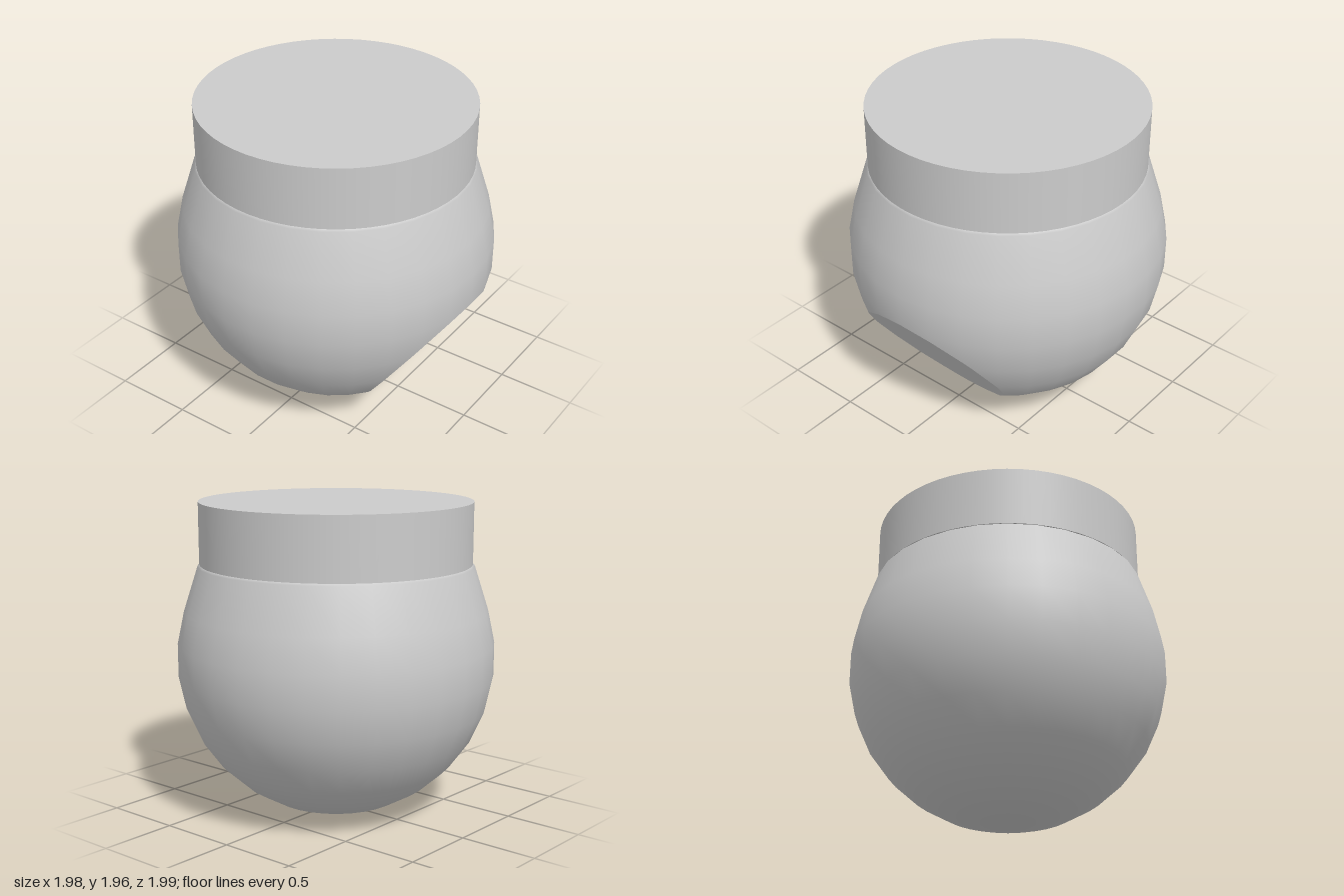
import * as THREE from 'three';

const CENTRE_Y = 0.978;
const STEP = Math.PI / 15;

const material = () => new THREE.MeshStandardMaterial({ color: 0xcccccc });

// Keeps the part of a geometry behind a plane and collects the cut points.
function clip(source, plane) {
  const geo = source.toNonIndexed();
  const pos = geo.attributes.position, nor = geo.attributes.normal;
  const points = [], normals = [], rim = [];
  const vertex = (i) => {
    const p = new THREE.Vector3().fromBufferAttribute(pos, i);
    return { p, n: new THREE.Vector3().fromBufferAttribute(nor, i), d: plane.distanceToPoint(p) };
  };
  for (let i = 0; i < pos.count; i += 3) {
    const corners = [vertex(i), vertex(i + 1), vertex(i + 2)];
    const kept = [];
    corners.forEach((a, k) => {
      const b = corners[(k + 1) % 3];
      if (a.d <= 0) kept.push(a);
      if ((a.d <= 0) !== (b.d <= 0)) {
        const t = a.d / (a.d - b.d);
        const cut = { p: a.p.clone().lerp(b.p, t), n: a.n.clone().lerp(b.n, t).normalize() };
        kept.push(cut);
        rim.push(cut.p);
      }
    });
    for (let k = 1; k < kept.length - 1; k++) {
      for (const v of [kept[0], kept[k], kept[k + 1]]) {
        points.push(...v.p.toArray());
        normals.push(...v.n.toArray());
      }
    }
  }
  const body = new THREE.BufferGeometry();
  body.setAttribute('position', new THREE.Float32BufferAttribute(points, 3));
  body.setAttribute('normal', new THREE.Float32BufferAttribute(normals, 3));
  return { body, rim };
}

// Flat face closing the cut, fanned around its middle.
function cutFace(rim, plane, middle) {
  const u = new THREE.Vector3(1, 0, 0);
  const v = plane.normal.clone().cross(u);
  const angle = (p) => {
    const q = p.clone().sub(middle);
    return Math.atan2(q.dot(v), q.dot(u));
  };
  const sorted = [...rim].sort((a, b) => angle(a) - angle(b));
  const fan = sorted.flatMap((p, i) => [middle, p, sorted[(i + 1) % sorted.length]]);
  const geo = new THREE.BufferGeometry().setFromPoints(fan);
  geo.computeVertexNormals();
  return geo;
}

export function createModel() {
  const group = new THREE.Group();
  const add = (name, geometry) => {
    const mesh = new THREE.Mesh(geometry, material());
    mesh.name = name;
    group.add(mesh);
    return mesh;
  };

  // Round bowl: flat base, spherical belly, straight shoulder
  const profile = [new THREE.Vector2(0, 0)];
  for (let i = 1; i <= 9; i++) {
    profile.push(new THREE.Vector2(Math.sin(i * STEP), CENTRE_Y - Math.cos(i * STEP)));
  }
  profile.push(new THREE.Vector2(0.862, 1.565), new THREE.Vector2(0.845, 1.578));
  const bowl = new THREE.LatheGeometry(profile, 30);

  // Slanted flat on the lower front
  const tilt = 4.5 * STEP;
  const normal = new THREE.Vector3(0, -Math.cos(tilt), Math.sin(tilt));
  const middle = new THREE.Vector3(0, CENTRE_Y, 0).addScaledVector(normal, Math.cos(Math.PI / 6));
  const plane = new THREE.Plane().setFromNormalAndCoplanarPoint(normal, middle);
  const { body, rim } = clip(bowl, plane);
  add('bowl', body);
  add('frontFlat', cutFace(rim, plane, middle));

  // Lid
  add('lid', new THREE.CylinderGeometry(0.85, 0.85, 0.385, 60)).position.y = 1.77;

  return group;
}
